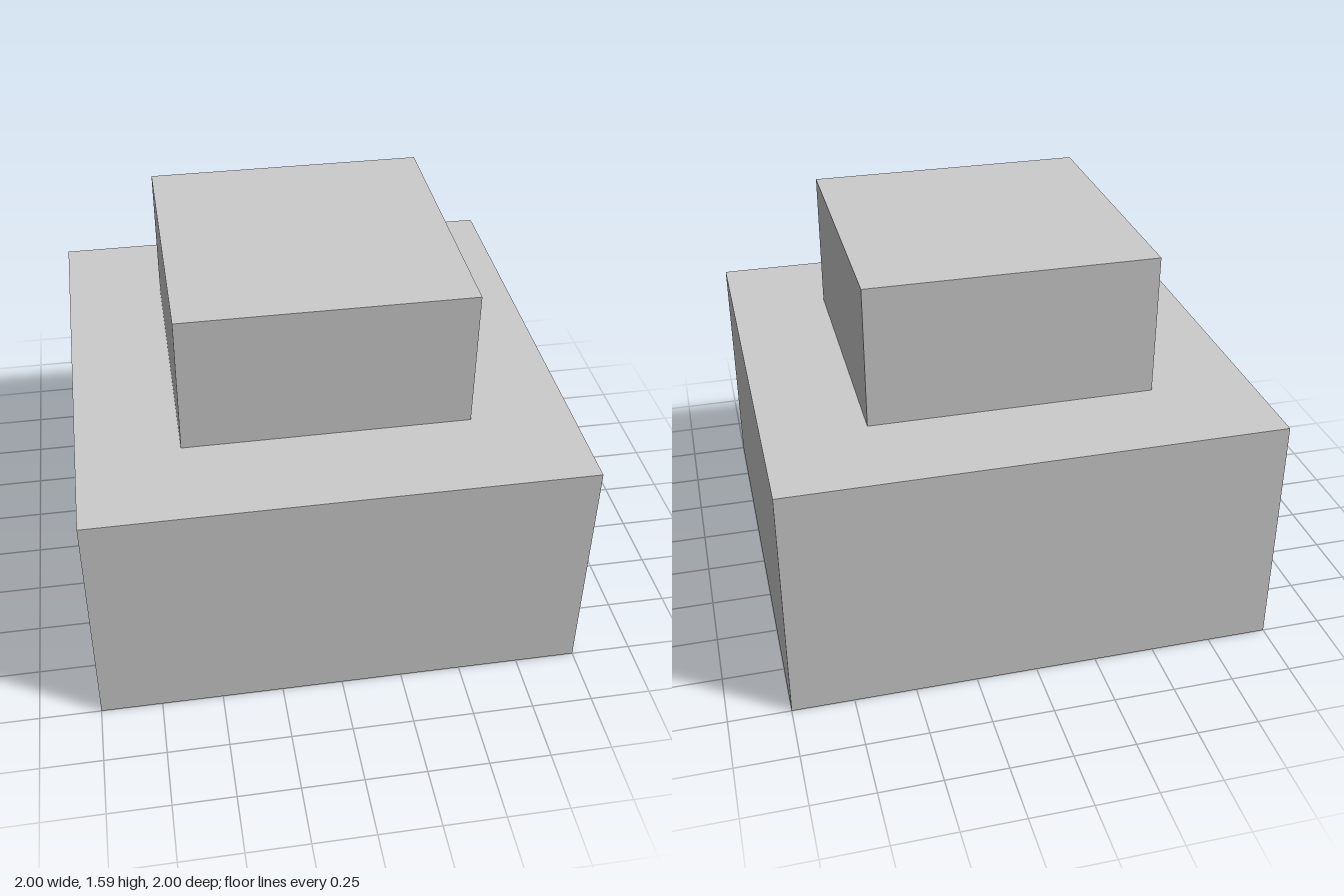
import * as THREE from 'three';

const material = new THREE.MeshStandardMaterial({ color: 0xcccccc, flatShading: true });

// Square block standing on the given height
function block(name, width, height, bottom) {
  const mesh = new THREE.Mesh(new THREE.BoxGeometry(width, height, width), material);
  mesh.name = name;
  mesh.position.y = bottom + height / 2;
  return mesh;
}

export function createModel() {
  const model = new THREE.Group();
  model.name = 'steppedBlock';

  // Wide lower tier and the smaller tier centred on it
  model.add(block('lowerBlock', 2, 1, 0));
  model.add(block('upperBlock', 1.172, 0.586, 1));

  return model;
}
